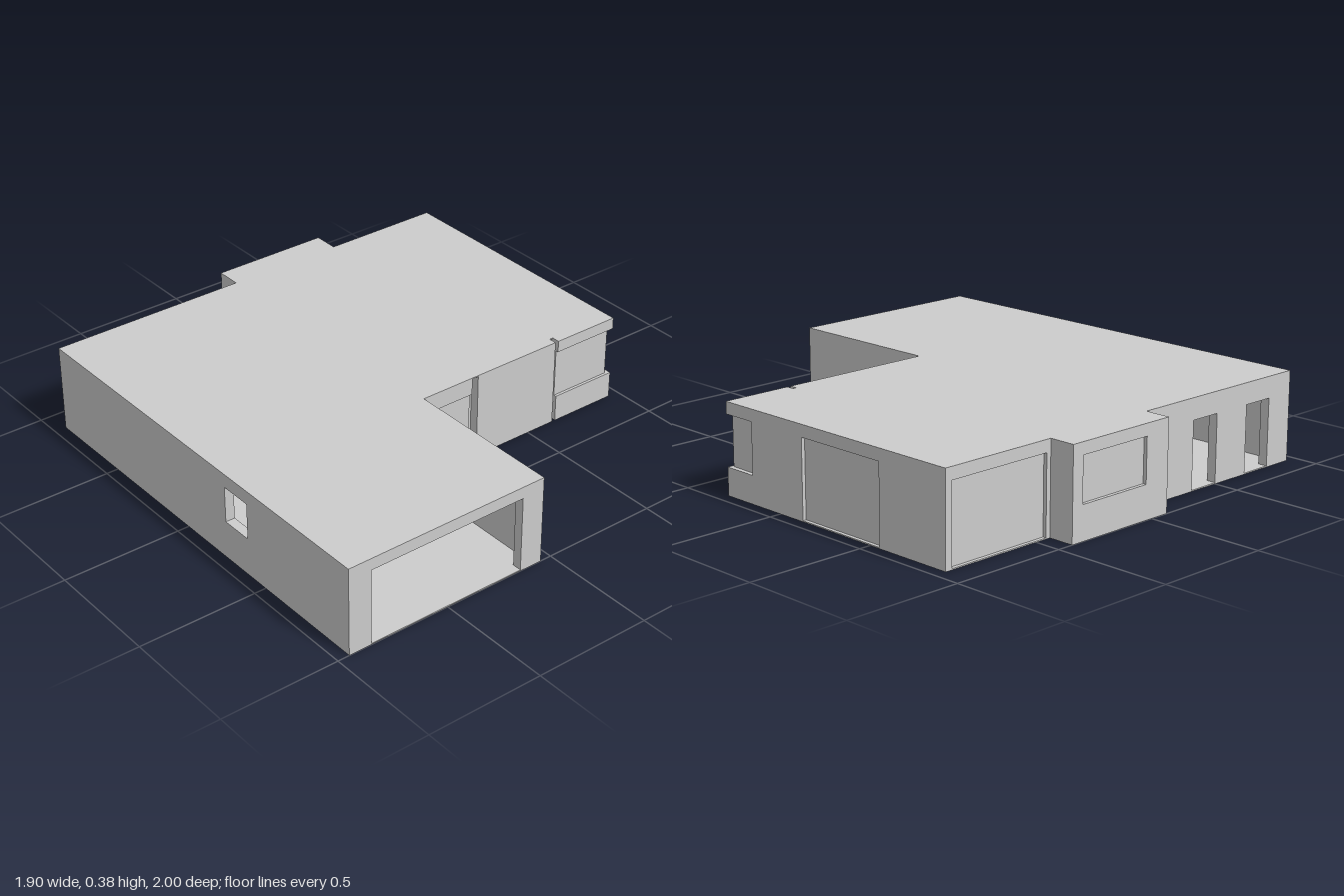
import * as THREE from 'three';

const T = 0.04;      // wall thickness
const H = 0.375;     // overall height
const SLAB = 0.005;  // floor and roof thickness

export function createModel() {
  const house = new THREE.Group();
  house.name = 'house';
  const grey = new THREE.MeshStandardMaterial({ color: 0xcccccc });
  grey.name = 'plaster grey';

  function add(name, geometry) {
    const mesh = new THREE.Mesh(geometry, grey);
    mesh.name = name;
    house.add(mesh);
    return mesh;
  }

  // Box given by its limits on each axis
  function block(name, [x0, x1], [y0, y1], [z0, z1]) {
    const geometry = new THREE.BoxGeometry(x1 - x0, y1 - y0, z1 - z0);
    geometry.translate((x0 + x1) / 2, (y0 + y1) / 2, (z0 + z1) / 2);
    return add(name, geometry);
  }

  // Wall along x or z, its low side at `at`; openings are [from, to, bottom, top],
  // and those with bottom 0 are doorways cut out of the lower edge
  function wall(name, axis, from, to, at, openings = [], y0 = SLAB, y1 = H - SLAB) {
    const shape = new THREE.Shape();
    shape.moveTo(from, y0);
    for (const [a, b, bottom, top] of openings) {
      if (bottom === 0) {
        shape.lineTo(a, y0);
        shape.lineTo(a, top);
        shape.lineTo(b, top);
        shape.lineTo(b, y0);
      } else {
        const hole = new THREE.Path();
        hole.moveTo(a, bottom);
        hole.lineTo(a, top);
        hole.lineTo(b, top);
        hole.lineTo(b, bottom);
        hole.closePath();
        shape.holes.push(hole);
      }
    }
    shape.lineTo(to, y0);
    shape.lineTo(to, y1);
    shape.lineTo(from, y1);
    shape.closePath();
    const geometry = new THREE.ExtrudeGeometry(shape, { depth: T, bevelEnabled: false });
    if (axis === 'x') geometry.translate(0, 0, at);
    else geometry.rotateY(-Math.PI / 2).translate(at + T, 0, 0);
    return add(name, geometry);
  }

  // Floor and roof slabs share the plan, with a rear bay and a small slit in front
  const plan = new THREE.Shape([
    [-0.95, -0.89], [-0.085, -0.89], [-0.085, -1], [0.43, -1], [0.43, -0.89], [0.95, -0.89],
    [0.95, 0.31], [0.648, 0.31], [0.648, 0.275], [0.632, 0.275], [0.632, 0.31],
    [-0.05, 0.31], [-0.05, 1], [-0.95, 1],
  ].map(([x, z]) => new THREE.Vector2(x, z)));
  for (const [name, top] of [['floor', SLAB], ['roof', H]]) {
    const slab = new THREE.ExtrudeGeometry(plan, { depth: SLAB, bevelEnabled: false });
    add(name, slab.rotateX(Math.PI / 2).translate(0, top, 0));
  }

  // Garage walls
  wall('garageFrontWall', 'x', -0.95, -0.05, 1 - T, [[-0.85, -0.15, 0, 0.325]]);
  wall('garageLeftWall', 'z', 0.2, 1 - T, -0.05 - T);
  wall('garageRearWall', 'x', -0.95 + T, -0.05, 0.2 - T, [[-0.905, -0.77, 0, 0.285]]);

  // Long right wall with a small open window
  wall('rightWall', 'z', -0.89, 1 - T, -0.95, [[0.257, 0.395, 0.163, 0.317]]);

  // Rear walls, two open doorways and a wide glazed opening
  wall('rearDoorWall', 'x', -0.95 + T, -0.085, -0.89,
    [[-0.82, -0.68, 0, 0.285], [-0.5, -0.36, 0, 0.285]]);
  wall('rearGlazedWall', 'x', 0.43, 0.95, -0.89, [[0.45, 0.92, 0, 0.325]]);
  block('rearGlazing', [0.45, 0.92], [SLAB, 0.325], [-0.875, -0.865]);

  // Rear bay
  wall('bayRearWall', 'x', -0.085, 0.43, -1, [[0.035, 0.377, 0.14, 0.325]]);
  wall('baySideWall', 'z', -1 + T, -0.85, -0.085);
  wall('baySideWall', 'z', -1 + T, -0.85, 0.43 - T);
  block('bayWindow', [0.035, 0.377], [0.14, 0.325], [-0.985, -0.975]);

  // Left wall with sliding door
  wall('leftWall', 'z', -0.89 + T, 0.16, 0.95 - T, [[-0.55, -0.13, 0, 0.325]]);
  block('slidingDoor', [0.925, 0.935], [SLAB, 0.325], [-0.55, -0.13]);

  // Entrance: pier, lintel, door and the slit beside it with an open leaf behind
  wall('entrancePier', 'x', -0.05, -0.02, 0.31 - T);
  wall('entranceLintel', 'x', -0.02, 0.195, 0.31 - T, [], 0.3);
  block('entranceDoor', [-0.02, 0.195], [SLAB, 0.3], [0.285, 0.295]);
  block('threshold', [0.13, 0.19], [SLAB, 0.01], [0.295, 0.308]);
  block('sideLeaf', [0.207, 0.225], [SLAB, 0.285], [0.14, 0.27]);
  wall('frontWall', 'x', 0.225, 0.632, 0.31 - T);

  // Corner window: sill and head walls meeting at the corner, glass set back
  for (const [part, y0, y1] of [['Sill', SLAB, 0.115], ['Head', 0.325, H - SLAB]]) {
    wall('corner' + part + 'Front', 'x', 0.648, 0.95, 0.31 - T, [], y0, y1);
    wall('corner' + part + 'Side', 'z', 0.16, 0.31 - T, 0.95 - T, [], y0, y1);
  }
  block('cornerGlassFront', [0.648, 0.93], [0.115, 0.325], [0.288, 0.298]);
  block('cornerGlassSide', [0.92, 0.93], [0.115, 0.325], [0.16, 0.288]);

  return house;
}
